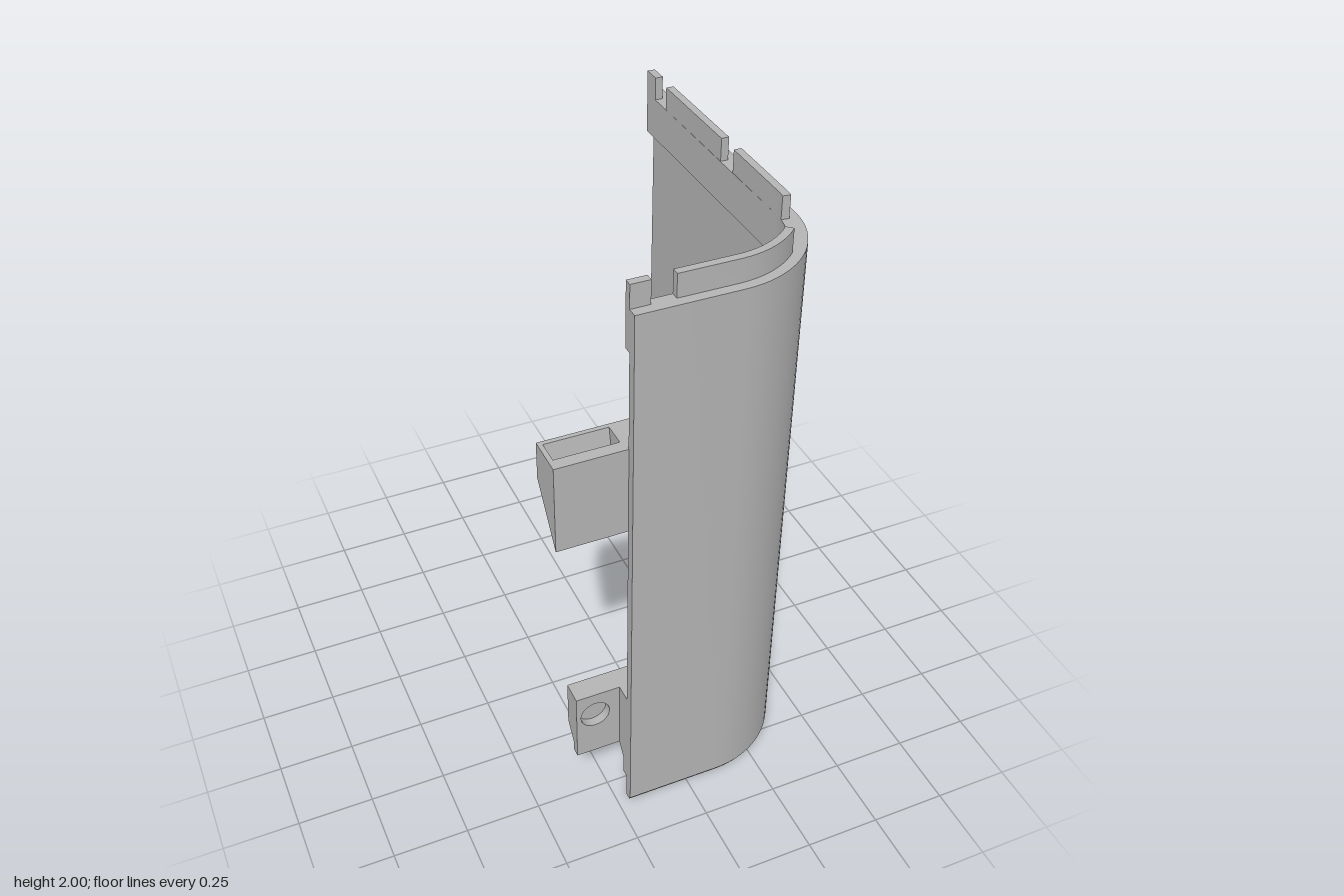
import * as THREE from 'three';
import { toCreasedNormals } from 'three/addons/utils/BufferGeometryUtils.js';

const grey = new THREE.MeshStandardMaterial({ color: 0xb4b4b4 });
grey.name = 'plain grey';

const polygon = (pts) => new THREE.Shape(pts.map(([x, y]) => new THREE.Vector2(x, y)));

function extrude(shape, depth) {
  return new THREE.ExtrudeGeometry(shape, { depth, bevelEnabled: false });
}

function addMesh(parent, name, geometry) {
  const mesh = new THREE.Mesh(toCreasedNormals(geometry, 0.5), grey);
  mesh.name = name;
  parent.add(mesh);
  return mesh;
}

// Plan point at depth d behind the outer face: u 0-1 front, 1-2 rounded corner, 2-3 side
function planPoint(u, d) {
  const cx = 0.11, cz = 0.28, r = 0.32 - d;
  if (u < 1) return [-0.21 + u * 0.32, -(cz + r)];
  if (u > 2) return [cx + 0.322 - d, -(cz - (u - 2) * 0.88)];
  const a = (2 - u) * Math.PI / 2;
  return [cx + r * Math.cos(a), -(cz + r * Math.sin(a))];
}

// Strip of wall between two depths, two heights and two stations along the plan
function wallStrip(parent, name, d0, d1, y0, y1, u0 = 0, u1 = 3) {
  const stations = [u0];
  for (let i = 0; i <= 20; i++) {
    const u = 1 + i / 20;
    if (u > u0 && u < u1) stations.push(u);
  }
  stations.push(u1);
  const outer = stations.map((u) => planPoint(u, d0));
  const inner = stations.map((u) => planPoint(u, d1)).reverse();
  const geometry = extrude(polygon([...outer, ...inner]), y1 - y0);
  geometry.rotateX(-Math.PI / 2).translate(0, y0, 0);
  addMesh(parent, name, geometry);
}

// Prism whose profile is [distance behind the wall face, height], swept from l0 to l1
function prism(parent, name, pts, l0, l1, hole) {
  const shape = polygon(pts);
  if (hole) shape.holes.push(hole);
  addMesh(parent, name, extrude(shape, l1 - l0).translate(0, 0, l0));
}

// Wedge clip with a vertical slot and a sideways slot crossing it
function clip(name) {
  const group = new THREE.Group();
  group.name = name;
  const under = (q) => 0.81 + (q - 0.03) * 1.15;
  const part = (q0, q1) => [[q0, under(q0)], [q1, under(q1)], [q1, 1.05], [q0, 1.05]];
  const slot = polygon([[0.048, 0.94], [0.08, 0.94], [0.08, 1.0], [0.048, 1.0]]);
  for (const [a, b] of [[-0.075, -0.031], [0.031, 0.075]]) prism(group, 'clipEnd', part(0.03, 0.151), a, b, slot);
  prism(group, 'clipRoot', part(0.03, 0.099), -0.031, 0.031, slot);
  prism(group, 'clipBridge', part(0.128, 0.151), -0.031, 0.031);
  return group;
}

export function createModel() {
  const model = new THREE.Group();
  model.name = 'cornerPanel';

  // Outer skin with a small step at the foot
  wallStrip(model, 'skin', 0, 0.032, 0.012, 1.925);
  wallStrip(model, 'skinFoot', 0.007, 0.032, 0, 0.012);

  // Inner stiffening bands
  wallStrip(model, 'topBand', 0.032, 0.057, 1.79, 1.925);
  wallStrip(model, 'bottomBand', 0.032, 0.057, 0.09, 0.22);

  // Joining tabs along the top
  for (const [u0, u1] of [[0, 0.19], [0.42, 1.5], [1.92, 2.31], [2.4, 2.84], [2.93, 3]]) {
    wallStrip(model, 'topTab', 0.032, 0.057, 1.925, 2, u0, u1);
  }

  // Clips on the two inner faces
  const frontClip = clip('frontClip');
  frontClip.rotation.y = Math.PI / 2;
  frontClip.position.set(0.01, 0, 0.6);
  const sideClip = clip('sideClip');
  sideClip.rotation.y = Math.PI;
  sideClip.position.set(0.432, 0, -0.036);
  model.add(frontClip, sideClip);

  // Upper arm with a tapered pocket in its top
  const upperArm = new THREE.Group();
  upperArm.name = 'upperArm';
  upperArm.rotation.y = Math.PI / 2;
  upperArm.position.z = 0.6;
  const armBase = [[0.03, 1.17], [0.16, 1.345], [0.16, 1.47]];
  const armFull = [...armBase, [0.03, 1.47]];
  const armPocket = [...armBase, [0.145, 1.47], [0.13, 1.4], [0.085, 1.4], [0.07, 1.47], [0.03, 1.47]];
  prism(upperArm, 'armTip', armFull, -0.435, -0.42);
  prism(upperArm, 'armPocket', armPocket, -0.42, -0.22);
  prism(upperArm, 'armRoot', armFull, -0.22, -0.07);
  model.add(upperArm);

  // Lower arm: root against the wall, set-back tip
  const lowerArm = new THREE.Group();
  lowerArm.name = 'lowerArm';
  lowerArm.rotation.y = Math.PI / 2;
  lowerArm.position.z = 0.6;
  const armUnder = (q) => 0.2 + (q - 0.09) * 1.25;
  const lowerPart = (q0, q1) => [[q0, armUnder(q0)], [q1, armUnder(q1)], [q1, 0.46], [q0, 0.46]];
  prism(lowerArm, 'armRoot', lowerPart(0.03, 0.165), -0.21, -0.115);
  prism(lowerArm, 'armTip', lowerPart(0.12, 0.165), -0.36, -0.21);
  model.add(lowerArm);

  // Front plate of the lower arm with a round blind hole
  const plate = polygon([[-0.36, 0.2], [-0.21, 0.2], [-0.21, 0.46], [-0.36, 0.46]]);
  plate.holes.push(new THREE.Path().absarc(-0.295, 0.37, 0.05, 0, Math.PI * 2, true));
  addMesh(model, 'lowerArmPlate', extrude(plate, 0.03).translate(0, 0, 0.48));

  return model;
}
